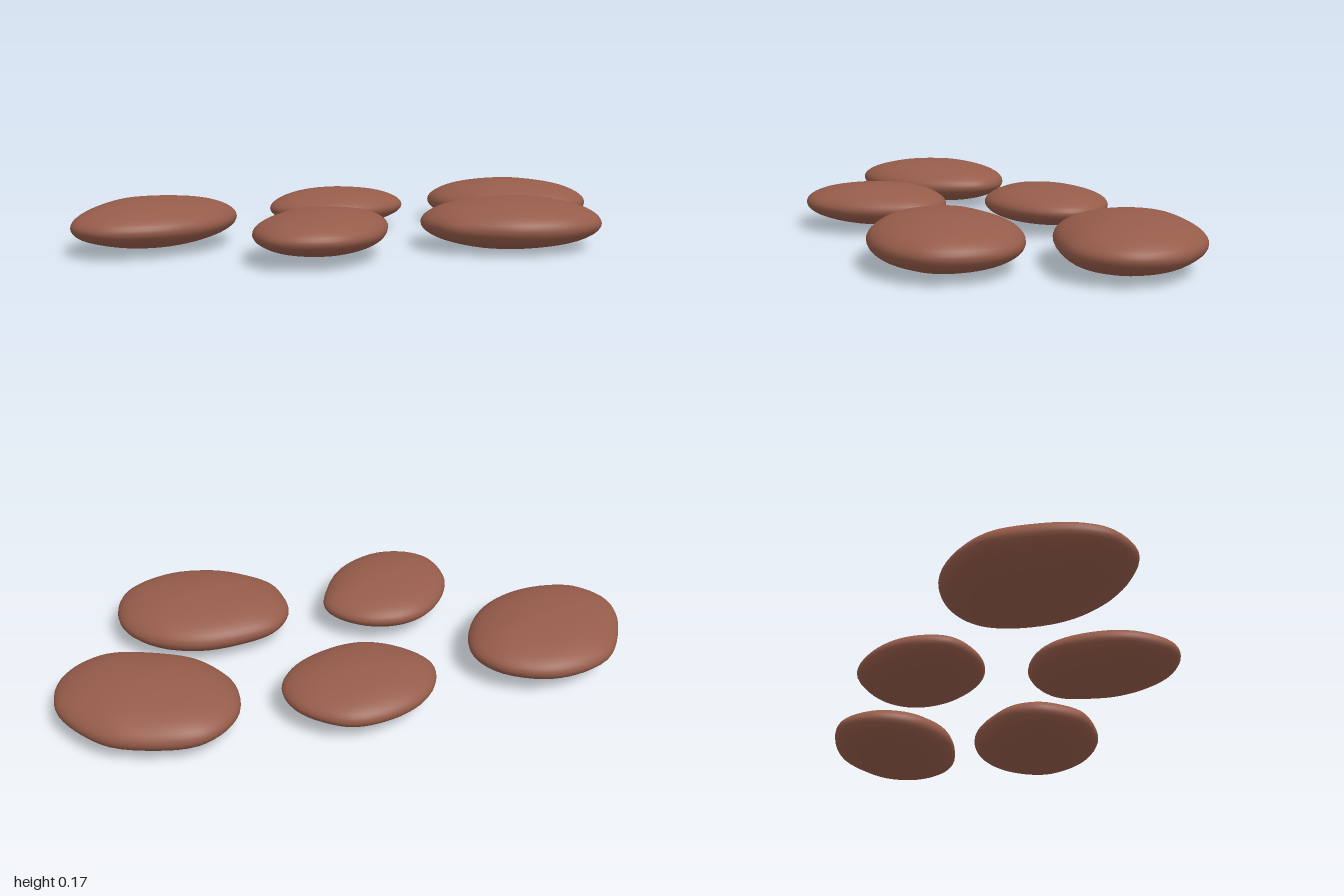
import * as THREE from 'three';
import { mergeVertices } from 'three/addons/utils/BufferGeometryUtils.js';

// Each stone: outline in plan (x, z), lowest and highest y
const STONES = [
  { name: 'backRightStone', low: 0.01, high: 0.175, outline: [
    [-1, -.24], [-.98, -.34], [-.9, -.46], [-.8, -.55], [-.66, -.58], [-.53, -.555], [-.42, -.47],
    [-.38, -.37], [-.4, -.28], [-.48, -.17], [-.58, -.1], [-.72, -.065], [-.85, -.08], [-.95, -.13]] },
  { name: 'backMiddleStone', low: 0.02, high: 0.16, outline: [
    [-.22, -.35], [-.18, -.45], [-.085, -.525], [.05, -.555], [.17, -.535], [.27, -.44],
    [.305, -.35], [.29, -.26], [.21, -.18], [.075, -.14], [-.05, -.15], [-.155, -.22]] },
  { name: 'leftStone', low: 0, high: 0.175, outline: [
    [.43, -.21], [.46, -.33], [.53, -.4], [.62, -.43], [.75, -.4], [.89, -.32], [.97, -.2],
    [1, -.09], [.97, .03], [.9, .1], [.79, .13], [.65, .08], [.51, -.02], [.45, -.12]] },
  { name: 'frontRightStone', low: 0.02, high: 0.165, outline: [
    [-.55, .25], [-.53, .13], [-.45, .02], [-.34, -.05], [-.235, -.06], [-.12, -.015], [-.05, .07],
    [-.035, .145], [-.085, .24], [-.165, .335], [-.26, .39], [-.37, .41], [-.475, .375], [-.535, .315]] },
  { name: 'frontLeftStone', low: 0, high: 0.175, outline: [
    [.08, .27], [.1, .16], [.18, .08], [.315, .06], [.47, .08], [.605, .165], [.675, .28],
    [.675, .4], [.62, .51], [.525, .56], [.405, .57], [.255, .52], [.14, .42], [.09, .35]] },
];

// Flattened sphere whose rim follows the outline
function stoneGeometry({ outline, low, high }) {
  const curve = new THREE.CatmullRomCurve3(outline.map(([x, z]) => new THREE.Vector3(x, 0, z)), true);
  const box = new THREE.Box3().setFromPoints(curve.getPoints(80));
  const centre = box.getCenter(new THREE.Vector3());
  const middle = (low + high) / 2, half = (high - low) / 2;

  const sphere = new THREE.SphereGeometry(1, 56, 28);
  const pos = sphere.attributes.position, uv = sphere.attributes.uv;
  const point = new THREE.Vector3();
  for (let i = 0; i < pos.count; i++) {
    const y = pos.getY(i);
    const radius = Math.sqrt(Math.max(0, 1 - y * y));
    curve.getPoint((2 - uv.getX(i)) % 1, point);
    point.lerpVectors(centre, point, radius);
    // Gentle unevenness of the worn surface
    const wave = 0.035 * Math.sin(point.x * 17 + point.z * 9) * Math.cos(point.z * 15) * radius;
    point.y = middle + half * y * (1 + wave);
    pos.setXYZ(i, point.x, point.y, point.z);
  }
  sphere.deleteAttribute('uv');
  sphere.deleteAttribute('normal');
  const geometry = mergeVertices(sphere, 1e-5);
  geometry.computeVertexNormals();
  return geometry;
}

export function createModel() {
  const model = new THREE.Group();
  model.name = 'steppingStones';
  const clay = new THREE.MeshStandardMaterial({ color: 0x965c4a });
  clay.name = 'reddish brown stone';
  for (const stone of STONES) {
    const mesh = new THREE.Mesh(stoneGeometry(stone), clay);
    mesh.name = stone.name;
    model.add(mesh);
  }
  return model;
}
